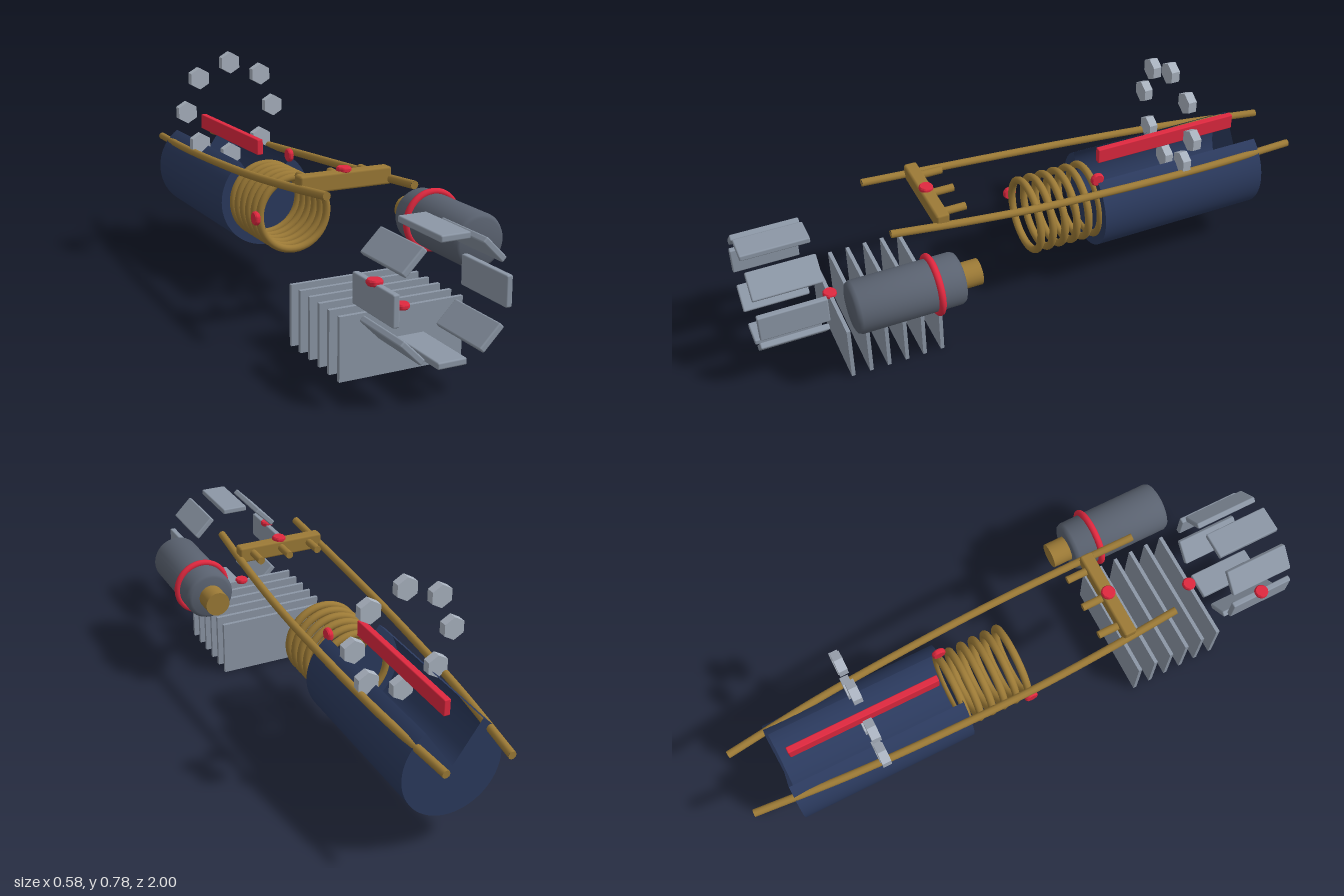
import * as THREE from 'three';
import { RoundedBoxGeometry } from 'three/addons/geometries/RoundedBoxGeometry.js';
import { toCreasedNormals } from 'three/addons/utils/BufferGeometryUtils.js';

const AX = -0.085, AY = 0.3; // main axis, running along z

const mat = (color, extra = {}) => {
  const m = new THREE.MeshStandardMaterial(extra);
  m.color.set(color);
  return m;
};

export function createModel() {
  const model = new THREE.Group();
  model.name = 'explodedAssembly';

  const gold = mat(0x9c7a36), red = mat(0xe0283f), steel = mat(0x8c97a6);
  const dark = mat(0x5a6270), pale = mat(0xaab3c0);
  const navy = mat(0x2b3a5e, { side: THREE.DoubleSide });

  const add = (name, geometry, material, x, y, z, parent = model) => {
    const mesh = new THREE.Mesh(geometry, material);
    mesh.name = name;
    mesh.position.set(x, y, z);
    parent.add(mesh);
    return mesh;
  };
  const group = (name) => {
    const g = new THREE.Group();
    g.name = name;
    model.add(g);
    return g;
  };
  const lathe = (points, segments) => toCreasedNormals(
    new THREE.LatheGeometry(points.map(([r, y]) => new THREE.Vector2(r, y)), segments), 0.7);
  const rod = (radius, length, sides) =>
    new THREE.CylinderGeometry(radius, radius, length, sides).rotateX(Math.PI / 2);

  // Drum with a wedge left open along its top
  const drum = new THREE.CylinderGeometry(0.17, 0.17, 0.63, 48, 1, false,
    Math.PI + 0.6, Math.PI * 2 - 1.2).rotateX(Math.PI / 2);
  add('drum', drum, navy, AX, AY, -0.545);

  // Bar standing in the wedge
  add('wedgeBar', new RoundedBoxGeometry(0.023, 0.056, 0.54, 2, 0.004), red, AX, 0.475, -0.545);

  // Coil rings in front of the drum
  const coil = group('coil');
  const ring = new THREE.TorusGeometry(0.126, 0.0135, 12, 48);
  for (let i = 0; i < 6; i++) add('coilRing', ring, gold, AX, AY, -0.003 - i * 0.0455, coil);

  // Bowed side rails
  for (const s of [1, -1]) {
    const path = new THREE.CatmullRomCurve3([
      [0.15, 0.503, 0.535], [0.161, 0.477, 0.27], [0.166, 0.454, 0], [0.161, 0.435, -0.28],
      [0.143, 0.412, -0.65], [0.109, 0.391, -0.997],
    ].map(([x, y, z]) => new THREE.Vector3(AX + s * x, y, z)));
    add(s > 0 ? 'leftRail' : 'rightRail', new THREE.TubeGeometry(path, 32, 0.0135, 10), gold, 0, 0, 0);
    // End caps
    for (const [t, angle] of [[0, 0], [1, Math.PI]]) {
      const p = path.getPointAt(t);
      const cap = add('railCap', new THREE.CircleGeometry(0.0135, 10), gold, p.x, p.y, p.z);
      cap.rotation.y = angle;
    }
  }

  // Crossbar with three rear prongs
  add('crossbar', new RoundedBoxGeometry(0.32, 0.058, 0.046, 1, 0.008), gold, AX, 0.499, 0.358);
  for (const dx of [-0.11, 0, 0.11])
    add('crossbarProng', rod(0.0135, 0.09, 12), gold, AX + dx, 0.503, 0.308);

  // Stack of upright plates
  const plates = group('plates');
  const plate = new THREE.BoxGeometry(0.416, 0.2, 0.013);
  for (let i = 0; i < 6; i++) add('plate', plate, steel, AX, 0.1, 0.405 + i * 0.0634, plates);

  // Ring of eight front panels
  const panels = group('frontPanels');
  const panel = new RoundedBoxGeometry(0.095, 0.021, 0.23, 2, 0.005);
  for (let i = 0; i < 8; i++) {
    const a = i * Math.PI / 4;
    const p = add('frontPanel', panel, steel,
      AX + 0.181 * Math.sin(a), AY + 0.181 * Math.cos(a), 0.885, panels);
    p.rotation.z = -a;
  }

  // Ring of eight hexagonal nuts, all point up
  const nuts = group('hexNuts');
  const nut = toCreasedNormals(new THREE.CylinderGeometry(0.0395, 0.0395, 0.03, 6)
    .rotateX(Math.PI / 2), 0.5);
  for (let i = 0; i < 8; i++) {
    const a = i * Math.PI / 4;
    add('hexNut', nut, pale, AX + 0.172 * Math.sin(a), 0.571 + 0.172 * Math.cos(a), -0.548, nuts);
  }

  // Canister with band and rear neck
  const canister = group('canister');
  canister.position.set(0.186, 0.355, 0);
  const body = lathe([[0, -0.183], [0.073, -0.183], [0.082, -0.179], [0.088, -0.167],
    [0.088, 0.167], [0.082, 0.179], [0.073, 0.183], [0, 0.183]], 40).rotateX(Math.PI / 2);
  add('canisterBody', body, dark, 0, 0, 0.537, canister);
  add('canisterBand', new THREE.TorusGeometry(0.093, 0.0115, 10, 48), red, 0, 0, 0.446, canister);
  add('canisterNeck', rod(0.044, 0.08, 24), gold, 0, 0, 0.326, canister);

  // Small red marker buttons; the last value turns the axis sideways
  const buttons = group('markerButtons');
  const button = lathe([[0, -0.009], [0.02, -0.009], [0.024, -0.004],
    [0.024, 0.004], [0.02, 0.009], [0, 0.009]], 20);
  for (const [x, y, z, sideways] of [
    [AX, 0.531, 0.358, false],
    [AX, 0.2, 0.722, false],
    [-0.268, 0.349, 0.883, false],
    [-0.227, 0.3, 0, true],
    [0.007, 0.447, -0.23, true],
  ]) {
    const b = add('markerButton', button, red, x, y, z, buttons);
    if (sideways) b.rotation.z = Math.PI / 2;
  }

  return model;
}
